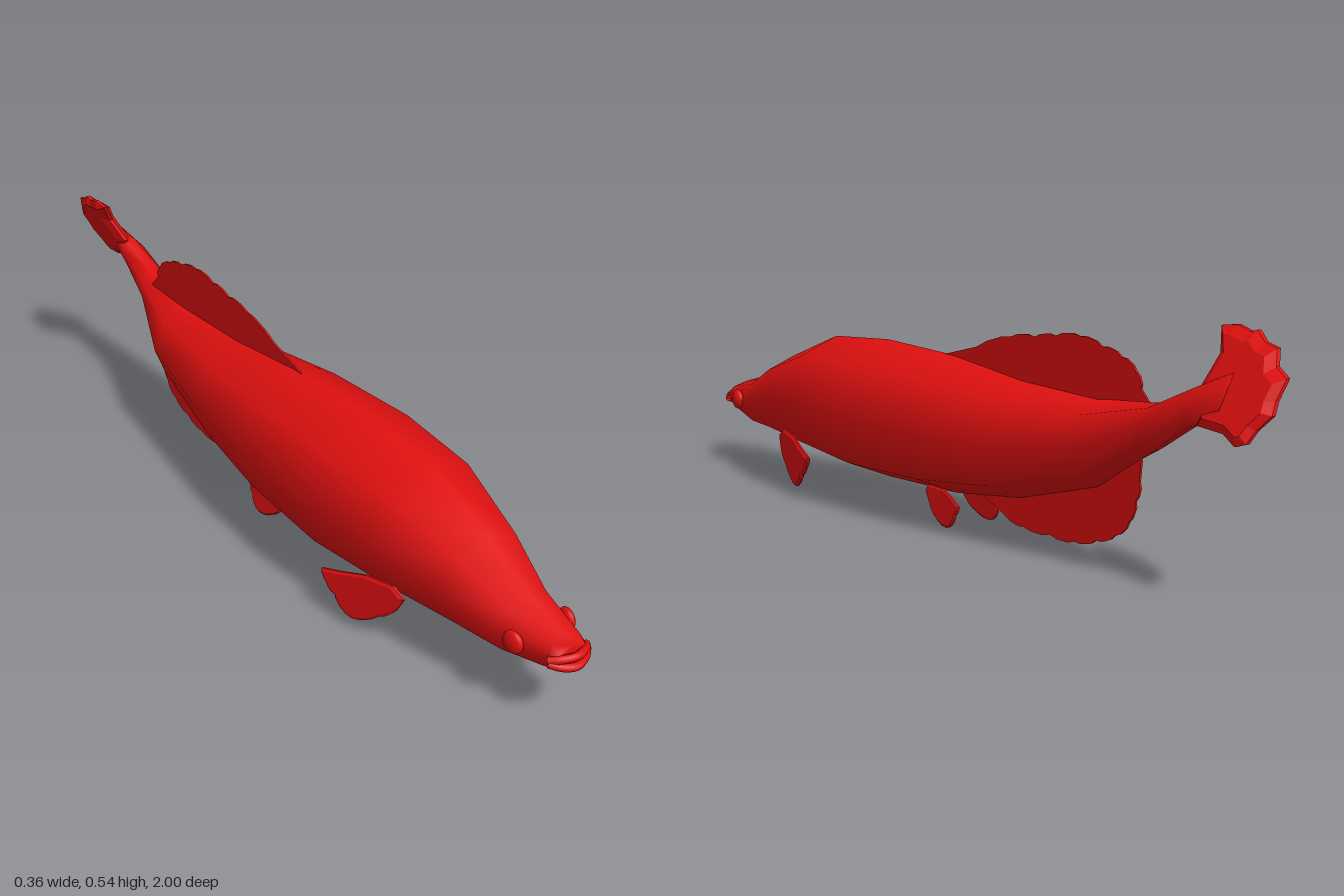
import * as THREE from 'three';

const red = new THREE.MeshStandardMaterial({ color: 0xe01010, side: THREE.DoubleSide });

function add(parent, name, geometry) {
  const mesh = new THREE.Mesh(geometry, red);
  mesh.name = name;
  parent.add(mesh);
  return mesh;
}

// Eight-sided rings lofted from snout to tail root: [z, top, bottom, half width, centre x, roll]
function bodyGeometry() {
  const rings = [
    [0.975, 0.205, 0.150, 0.045, 0, 0],
    [0.955, 0.217, 0.142, 0.052, 0, 0],
    [0.83, 0.250, 0.110, 0.078, 0, 0],
    [0.70, 0.318, 0.103, 0.115, 0, 0],
    [0.50, 0.390, 0.085, 0.160, 0, 0],
    [0.27, 0.405, 0.064, 0.178, 0, 0],
    [0.00, 0.395, 0.070, 0.164, 0, 0],
    [-0.24, 0.367, 0.100, 0.130, 0, 0],
    [-0.49, 0.358, 0.168, 0.092, 0, 0],
    [-0.69, 0.380, 0.275, 0.045, 0.030, 0.25],
    [-0.80, 0.430, 0.340, 0.032, 0.030, 0.5],
    [-0.88, 0.470, 0.375, 0.018, 0.020, 0.5],
  ];
  const sides = 8, pos = [], index = [];
  for (const [z, top, bottom, w, cx, roll] of rings) {
    const cy = (top + bottom) / 2, h = (top - bottom) / 2;
    for (let i = 0; i < sides; i++) {
      const a = (i / sides) * Math.PI * 2;
      const x = w * Math.sin(a), y = h * Math.cos(a);
      pos.push(cx + x * Math.cos(roll) - y * Math.sin(roll), cy + x * Math.sin(roll) + y * Math.cos(roll), z);
    }
  }
  for (let r = 0; r < rings.length - 1; r++) {
    for (let i = 0; i < sides; i++) {
      const a = r * sides + i, b = r * sides + ((i + 1) % sides);
      index.push(a, b, a + sides, b, b + sides, a + sides);
    }
  }
  // close both ends
  const last = (rings.length - 1) * sides;
  for (let i = 1; i < sides - 1; i++) {
    index.push(0, i + 1, i, last, last + i, last + i + 1);
  }
  const g = new THREE.BufferGeometry();
  g.setAttribute('position', new THREE.Float32BufferAttribute(pos, 3));
  g.setIndex(index);
  g.computeVertexNormals();
  return g;
}

// Bulge each free-edge segment outward for a ragged, scalloped rim
function scallop(edge, amount) {
  const n = edge.length;
  const cz = edge.reduce((s, p) => s + p[0], 0) / n;
  const cy = edge.reduce((s, p) => s + p[1], 0) / n;
  const out = [edge[0]];
  for (let i = 1; i < n; i++) {
    const [z0, y0] = edge[i - 1], [z1, y1] = edge[i];
    const len = Math.hypot(z1 - z0, y1 - y0);
    let nz = (y1 - y0) / len, ny = -(z1 - z0) / len;
    if (nz * ((z0 + z1) / 2 - cz) + ny * ((y0 + y1) / 2 - cy) < 0) { nz = -nz; ny = -ny; }
    for (const t of [0.3, 0.75]) {
      out.push([z0 + (z1 - z0) * t + nz * amount, y0 + (y1 - y0) * t + ny * amount]);
    }
    out.push(edge[i]);
  }
  return out;
}

// Thin plate from a [z, y] outline, leaned sideways by the rule lean(z, y)
function finGeometry(outline, thickness, lean, bevel = 0, inset = 0) {
  const shape = new THREE.Shape(outline.map(([z, y]) => new THREE.Vector2(-z, y)));
  const g = new THREE.ExtrudeGeometry(shape, {
    depth: thickness, bevelEnabled: bevel > 0, bevelThickness: bevel,
    bevelSize: inset, bevelOffset: -inset, bevelSegments: 1,
  });
  g.translate(0, 0, -thickness / 2);
  g.rotateY(Math.PI / 2);
  const p = g.attributes.position;
  for (let i = 0; i < p.count; i++) p.setX(i, p.getX(i) + lean(p.getZ(i), p.getY(i)));
  g.computeVertexNormals();
  return g;
}

export function createModel() {
  const fish = new THREE.Group();
  fish.name = 'fish';
  add(fish, 'body', bodyGeometry());

  // Upright fins on the centre line
  const flat = () => 0;
  const dorsal = scallop([[-0.08, 0.425], [-0.20, 0.46], [-0.28, 0.467], [-0.35, 0.477], [-0.43, 0.485],
    [-0.50, 0.470], [-0.56, 0.455], [-0.605, 0.43], [-0.62, 0.395]], 0.006);
  add(fish, 'dorsalFin', finGeometry([[0.08, 0.385], ...dorsal, [-0.65, 0.365], [-0.62, 0.32], [-0.3, 0.33]], 0.005, flat));
  const anal = scallop([[-0.18, 0.052], [-0.25, 0.036], [-0.34, 0.036], [-0.42, 0.036], [-0.49, 0.052],
    [-0.55, 0.075], [-0.59, 0.11], [-0.61, 0.16], [-0.62, 0.20]], 0.006);
  add(fish, 'analFin', finGeometry([[-0.10, 0.085], ...anal, [-0.625, 0.25], [-0.5, 0.20], [-0.24, 0.13]], 0.005, flat));

  // Tail fin, tilted over to one side
  const tail = [[-0.80, 0.43], [-0.815, 0.49], [-0.79, 0.54], [-0.83, 0.545], [-0.87, 0.535], [-0.885, 0.54],
    [-0.915, 0.52], [-0.95, 0.512], [-0.965, 0.48], [-1.0, 0.462], [-0.995, 0.42], [-1.0, 0.395],
    [-0.975, 0.365], [-0.965, 0.34], [-0.94, 0.332], [-0.90, 0.35], [-0.83, 0.355]];
  add(fish, 'tailFin', finGeometry(tail, 0.01, (z, y) => 0.022 - 0.55 * (y - 0.4), 0.013, 0.018));

  // Paired parts
  const pectoral = [[0.56, 0.155], [0.59, 0.135], ...scallop([[0.575, 0.105], [0.53, 0.065], [0.47, 0.03],
    [0.435, 0.036], [0.41, 0.065], [0.385, 0.085], [0.37, 0.115]], 0.004), [0.42, 0.128], [0.49, 0.15]];
  const pelvic = [[0.04, 0.09], [0.052, 0.075], ...scallop([[0.03, 0.045], [0.0, 0.02], [-0.04, 0.005],
    [-0.065, 0.012], [-0.08, 0.04], [-0.09, 0.06]], 0.003), [-0.06, 0.075], [-0.02, 0.09]];
  for (const [side, s] of [['left', 1], ['right', -1]]) {
    add(fish, side + 'PectoralFin', finGeometry(pectoral, 0.005,
      (z, y) => s * (0.145 - 0.25 * (z - 0.48) - 0.05 * (y - 0.1)), 0.004, 0.006));
    add(fish, side + 'PelvicFin', finGeometry(pelvic, 0.005,
      (z, y) => s * (0.058 - 0.08 * (z + 0.02) - 0.1 * (y - 0.04)), 0.003, 0.004));
    const eye = add(fish, side + 'Eye', new THREE.SphereGeometry(0.026, 16, 12));
    eye.scale.x = 0.5;
    eye.position.set(s * 0.07, 0.184, 0.88);
    eye.rotation.y = -s * 0.15;
  }

  // Lips: two flattened rolls round the snout tip
  const mouth = new THREE.Group();
  mouth.name = 'mouth';
  fish.add(mouth);
  for (const [name, y, rise, z] of [['upperLip', 0.18, 0.007, 0.988], ['lowerLip', 0.174, -0.009, 0.991]]) {
    const curve = new THREE.CatmullRomCurve3([-1, -0.6, 0, 0.6, 1].map(
      (t) => new THREE.Vector3(t * 0.05, y + rise * (1 - t * t), z - 0.028 * t * t)));
    add(mouth, name, new THREE.TubeGeometry(curve, 16, 0.009, 8));
  }
  return fish;
}
